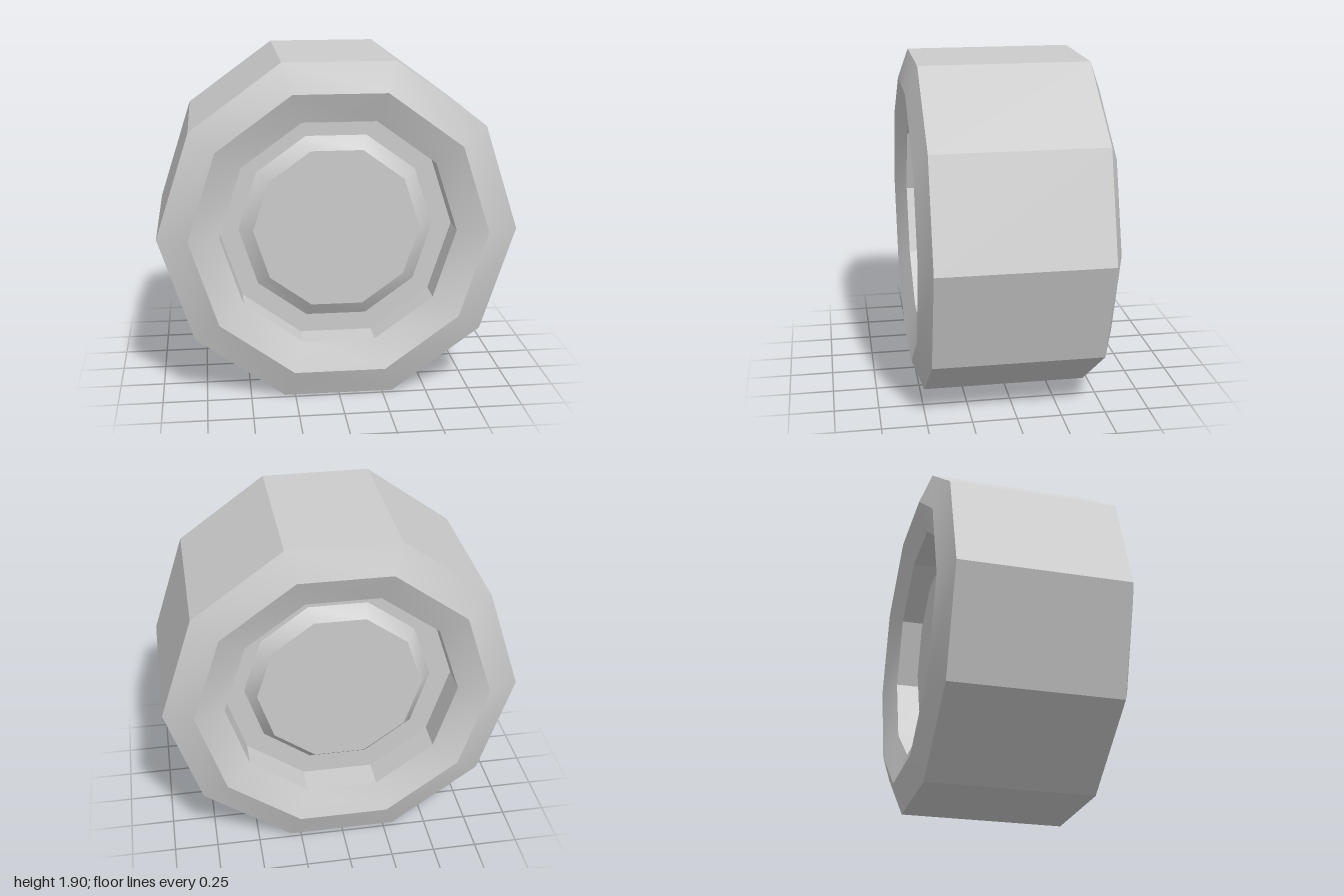
import * as THREE from 'three';
import { toCreasedNormals } from 'three/addons/utils/BufferGeometryUtils.js';

const SIDES = 10;
const CENTRE_Y = Math.cos(Math.PI / SIDES); // inradius of the unit decagon

export function createModel() {
  const wheel = new THREE.Group();
  wheel.name = 'wheel';
  const material = new THREE.MeshStandardMaterial({ color: 0xcccccc });

  // Ten-sided lathe about z; profile is [radius, z] running from back to front
  const turned = (name, profile) => {
    const points = profile.map(([r, z]) => new THREE.Vector2(r, z));
    const lathe = new THREE.LatheGeometry(points, SIDES, Math.PI / 2).rotateX(Math.PI / 2);
    const mesh = new THREE.Mesh(toCreasedNormals(lathe, Math.PI / 6), material);
    mesh.name = name;
    mesh.position.y = CENTRE_Y;
    wheel.add(mesh);
  };

  const frontFloor = 0.32, backFloor = 0.305;
  const frontHub = 0.55, backHub = 0.535;

  // Tyre: tread, bevelled shoulders, and the recessed well on each side
  turned('tyre', [
    [backHub, -backFloor], [0.66, -backFloor], [0.66, -0.475], [0.83, -0.54], [1, -0.475],
    [1, 0.475], [0.83, 0.54], [0.66, 0.475], [0.66, frontFloor], [frontHub, frontFloor],
  ]);

  // Raised bevelled hub caps sitting in the wells
  turned('frontHubCap', [[frontHub, frontFloor], [0.47, 0.37], [0, 0.37]]);
  turned('backHubCap', [[0, -0.38], [0.47, -0.38], [backHub, -backFloor]]);

  return wheel;
}
